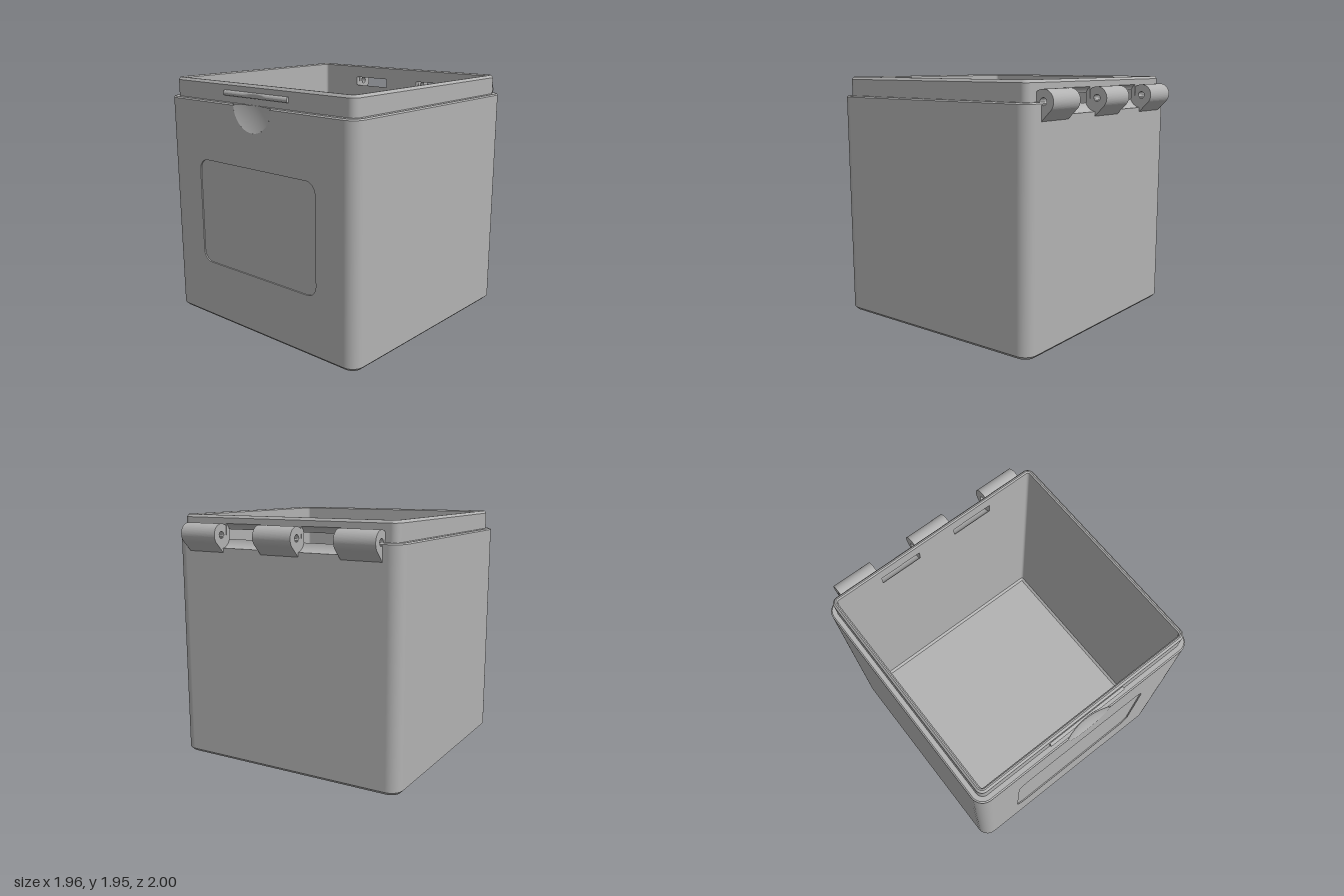
import * as THREE from 'three';

const grey = new THREE.MeshStandardMaterial({ color: 0xb2b2b2, side: THREE.DoubleSide });
grey.name = 'grey plastic';

// Straight half-lengths of the walls, corner radius and centre of the case
const SX = 0.88, SZ = 0.85, R = 0.1, ZC = 0.05, N = 8;

// Rounded-rectangle cross-section; "inset" is measured inwards from the outer wall
function ring(inset) {
  const pts = [];
  [[1, 1], [-1, 1], [-1, -1], [1, -1]].forEach(([sx, sz], k) => {
    for (let i = 0; i <= N; i++) {
      const a = (k + i / N) * Math.PI / 2, c = Math.cos(a), s = Math.sin(a);
      pts.push({ x: sx * SX + (R - inset) * c, z: ZC + sz * SZ + (R - inset) * s, c, s });
    }
  });
  return pts;
}

// Wall strip between two [inset, y] levels, optionally open at front or back
function band([i0, y0], [i1, y1], openFront, openBack) {
  const lo = ring(i0), hi = ring(i1), pos = [], nor = [], idx = [];
  const dy = y1 - y0, dOut = i0 - i1, len = Math.hypot(dy, dOut);
  lo.forEach((p, j) => {
    pos.push(p.x, y0, p.z, hi[j].x, y1, hi[j].z);
    for (let k = 0; k < 2; k++) nor.push(p.c * dy / len, -dOut / len, p.s * dy / len);
    if ((openFront && j === N) || (openBack && j === 3 * N + 2)) return;
    const a = 2 * j, b = 2 * ((j + 1) % lo.length);
    idx.push(a, a + 1, b, b, a + 1, b + 1);
  });
  const g = new THREE.BufferGeometry();
  g.setAttribute('position', new THREE.Float32BufferAttribute(pos, 3));
  g.setAttribute('normal', new THREE.Float32BufferAttribute(nor, 3));
  g.setIndex(idx);
  return g;
}

// Extrude a (-z, y) profile along x between x0 and x1
function alongX(shape, x0, x1) {
  const g = new THREE.ExtrudeGeometry(shape, { depth: x1 - x0, bevelEnabled: false, curveSegments: 24 });
  return g.rotateY(Math.PI / 2).translate(x0, 0, 0);
}

const polygon = (pts) => new THREE.Shape(pts.map(([x, y]) => new THREE.Vector2(x, y)));

function roundedRect(path, x0, y0, x1, y1, r) {
  const q = Math.PI / 2;
  path.absarc(x1 - r, y1 - r, r, 0, q);
  path.absarc(x0 + r, y1 - r, r, q, 2 * q);
  path.absarc(x0 + r, y0 + r, r, 2 * q, 3 * q);
  path.absarc(x1 - r, y0 + r, r, 3 * q, 4 * q);
  path.closePath();
  return path;
}

export function createModel() {
  const model = new THREE.Group();
  const add = (name, geometry) => {
    const mesh = new THREE.Mesh(geometry, grey);
    mesh.name = name;
    model.add(mesh);
    return mesh;
  };

  // Case walls: chamfered base, body, ledge, lip and inside
  const levels = [[0.025, 0], [0, 0.025], [0, 1.79], [0.01, 1.8], [0.045, 1.8], [0.045, 1.93],
    [0.06, 1.95], [0.07, 1.95], [0.08, 1.94], [0.08, 0.1], [0.1, 0.08]];
  const names = ['baseChamfer', 'bodyWall', 'bodyTopEdge', 'ledge', 'lipWall', 'lipChamfer',
    'lipTop', 'lipInnerChamfer', 'innerWall', 'floorFillet'];
  names.forEach((name, i) =>
    add(name, band(levels[i], levels[i + 1], i >= 1 && i <= 3, i >= 1 && i <= 8)));

  const sheet = (inset) => new THREE.ShapeGeometry(
    polygon(ring(inset).map((p) => [p.x, p.z]))).rotateX(Math.PI / 2);
  add('base', sheet(0.025));
  add('floor', new THREE.PlaneGeometry(2 * SX, 2 * SZ).rotateX(-Math.PI / 2).translate(0, 0.08, ZC));

  // Front panel with label recess and half-round bite for the thumb scoop
  const panel = new THREE.Shape();
  panel.moveTo(-SX, 0.025);
  panel.lineTo(SX, 0.025);
  panel.lineTo(SX, 1.79);
  panel.absarc(0, 1.8, 0.2, -0.05, -Math.PI + 0.05, true);
  panel.lineTo(-SX, 1.79);
  panel.closePath();
  panel.holes.push(roundedRect(new THREE.Path(), -0.62, 0.48, 0.62, 1.33, 0.09));
  add('frontPanel', new THREE.ExtrudeGeometry(panel,
    { depth: 0.02, bevelEnabled: false, curveSegments: 24 }).translate(0, 0, 0.98));
  add('labelRecess', new THREE.ShapeGeometry(
    roundedRect(new THREE.Shape(), -0.62, 0.48, 0.62, 1.33, 0.09)).translate(0, 0, 0.99));

  // Thumb scoop: lower half of a shallow spherical cap
  const ballR = 0.52, ballY = 1.8, ballZ = 1.48;
  add('thumbScoop', new THREE.SphereGeometry(ballR, 32, 12, Math.PI, Math.PI, 0, Math.asin(0.2 / ballR))
    .rotateX(-Math.PI / 2).translate(0, ballY, ballZ));

  // Front ledge and its bevel, cut by the scoop
  const ledge = new THREE.Shape();
  ledge.moveTo(-SX, 0.955);
  ledge.lineTo(SX, 0.955);
  ledge.lineTo(SX, 0.99);
  ledge.absarc(0, ballZ, ballR, Math.atan2(-0.49, 0.174), Math.atan2(-0.49, -0.174), true);
  ledge.lineTo(-SX, 0.99);
  ledge.closePath();
  add('frontLedge', new THREE.ShapeGeometry(ledge, 24).rotateX(Math.PI / 2).translate(0, 1.8, 0));
  for (const s of [-1, 1]) {
    add('frontLedgeBevel', new THREE.PlaneGeometry(0.69, 0.0142)
      .rotateX(-Math.PI / 4).translate(s * 0.535, 1.795, 0.995));
  }

  // Latch bar on the lip, thinned in the middle where the scoop reaches it
  const bar = new THREE.CylinderGeometry(0.021, 0.021, 0.67, 16, 40)
    .rotateZ(Math.PI / 2).translate(0, 1.87, 0.955);
  const p = bar.attributes.position;
  for (let i = 0; i < p.count; i++) {
    const rho2 = p.getX(i) ** 2 + (p.getY(i) - ballY) ** 2;
    p.setZ(i, Math.min(p.getZ(i), ballZ - Math.sqrt(ballR ** 2 - rho2)));
  }
  bar.computeVertexNormals();
  add('latchBar', bar);

  // Back wall: solid stretches, and stretches with a trough that opens into slots
  const hu = 0.915, hy = 1.805, tr = 0.102;
  const angleAt = (u, side) => Math.atan2(side * Math.sqrt(tr ** 2 - (u - hu) ** 2), u - hu);
  const lipTop = [[0.855, 1.93], [0.84, 1.95], [0.83, 1.95], [0.82, 1.94]];
  const solid = polygon([[0.82, 0.025], [0.9, 0.025], [0.9, 1.79], [0.89, 1.8], [0.855, 1.8], ...lipTop]);
  const below = polygon([[0.82, 0.025], [0.9, 0.025]]);
  below.absarc(hu, hy, tr, angleAt(0.9, -1), angleAt(0.82, -1), true);
  below.closePath();
  const above = new THREE.Shape();
  above.absarc(hu, hy, tr, angleAt(0.82, 1), angleAt(0.855, 1), true);
  lipTop.forEach(([u, y]) => above.lineTo(u, y));
  above.closePath();
  for (const [a, b] of [[-SX, -0.515], [-0.165, 0.165], [0.515, SX]]) add('backWall', alongX(solid, a, b));
  for (const [a, b] of [[-0.515, -0.165], [0.165, 0.515]]) {
    add('backWallBelowSlot', alongX(below, a, b));
    add('backWallAboveSlot', alongX(above, a, b));
  }

  // Hinge knuckles: round top, sloping foot into the wall, pin hole
  const knuckle = new THREE.Shape();
  knuckle.moveTo(0.86, 1.68);
  knuckle.lineTo(0.9, 1.67);
  knuckle.absarc(hu, hy, 0.085, -Math.PI / 4, Math.atan2(0.0648, -0.055));
  knuckle.closePath();
  const pinHole = new THREE.Path();
  pinHole.absarc(hu, hy, 0.027, 0, Math.PI * 2);
  knuckle.holes.push(pinHole);
  for (const [a, b] of [[-0.84, -0.515], [-0.165, 0.165], [0.515, 0.84]]) {
    add('hingeKnuckle', alongX(knuckle, a, b));
  }
  return model;
}
